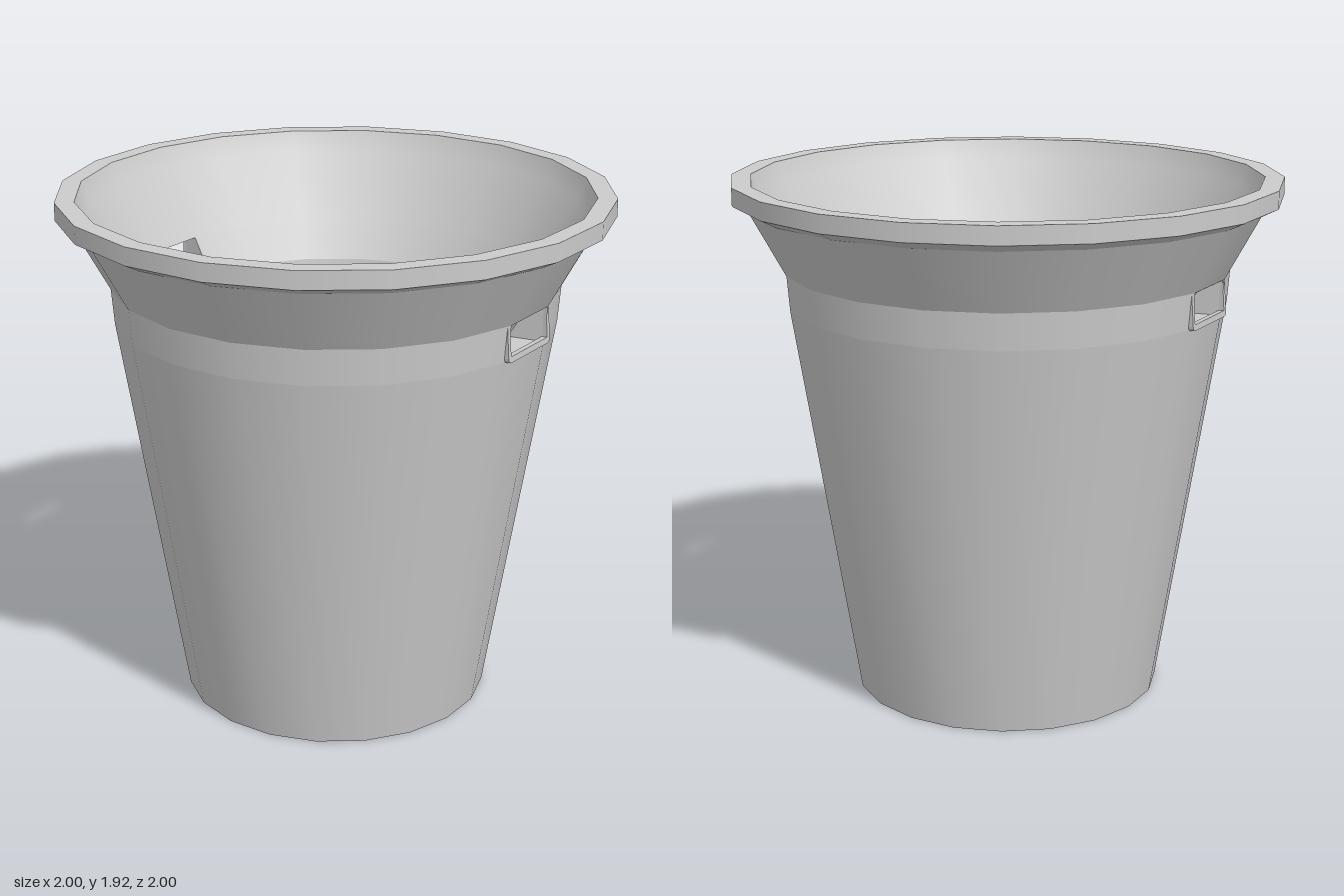
import * as THREE from 'three';

const SIDES = 20;
const STEP = (Math.PI * 2) / SIDES;
const SLOT_LOW = 1.47, SLOT_HIGH = 1.6;
const OUTER = [[0.805, SLOT_LOW], [0.815, SLOT_HIGH]]; // wall radius at slot bottom and top
const INNER = [[0.67, SLOT_LOW], [0.747, SLOT_HIGH]];

export function createModel() {
  const group = new THREE.Group();
  const material = new THREE.MeshStandardMaterial({ color: 0xcccccc });

  const add = (name, geometry, parent = group) => {
    const mesh = new THREE.Mesh(geometry, material);
    mesh.name = name;
    parent.add(mesh);
    return mesh;
  };
  const turn = (name, profile, sides = SIDES, start = 0) =>
    add(name, new THREE.LatheGeometry(
      profile.map(([r, y]) => new THREE.Vector2(r, y)), sides, start, sides * STEP));

  // Closed rings of the cup, split where the edges are sharp
  turn('base', [[0, 0], [0.57, 0]]);
  turn('outerWall', [[0.57, 0], OUTER[0]]);
  turn('outerFlare', [OUTER[1], [0.94, 1.83]]);
  turn('rimUnderside', [[0.94, 1.83], [1, 1.86]]);
  turn('rimEdge', [[1, 1.86], [1, 1.925]]);
  turn('rimTop', [[1, 1.925], [0.93, 1.925]]);
  turn('innerFlare', [[0.93, 1.925], [0.9, 1.85], INNER[1]]);
  turn('innerWall', [INNER[0], [0.43, 0.06]]);
  turn('floor', [[0.43, 0.06], [0, 0.06]]);

  // Slot tunnel through one facet of the wall
  const loop = ([[r0, y0], [r1, y1]]) => [[r0, y0, 0], [r0, y0, STEP], [r1, y1, STEP], [r1, y1, 0]]
    .map(([r, y, a]) => [r * Math.sin(a), y, r * Math.cos(a)]);
  const out = loop(OUTER), inn = loop(INNER);
  const points = [];
  for (let i = 0; i < 4; i++) {
    const j = (i + 1) % 4;
    points.push(...out[i], ...out[j], ...inn[j], ...out[i], ...inn[j], ...inn[i]);
  }
  const tunnel = new THREE.BufferGeometry();
  tunnel.setAttribute('position', new THREE.Float32BufferAttribute(points, 3));
  tunnel.computeVertexNormals();

  // Thin rounded frame around the slot
  const w = 0.143, h = 0.07, c = 0.018;
  const shape = new THREE.Shape();
  shape.moveTo(-w + c, -h);
  shape.lineTo(w - c, -h).quadraticCurveTo(w, -h, w, -h + c);
  shape.lineTo(w, h - c).quadraticCurveTo(w, h, w - c, h);
  shape.lineTo(-w + c, h).quadraticCurveTo(-w, h, -w, h - c);
  shape.lineTo(-w, -h + c).quadraticCurveTo(-w, -h, -w + c, -h);
  const hole = new THREE.Path();
  hole.moveTo(-0.125, -0.048).lineTo(-0.125, 0.06).lineTo(0.125, 0.06).lineTo(0.125, -0.048).closePath();
  shape.holes.push(hole);
  const frame = new THREE.ExtrudeGeometry(shape, { depth: 0.022, bevelEnabled: false, curveSegments: 4 });
  frame.rotateX(-0.076);
  frame.translate(0, 1.535, 0.782);
  frame.rotateY(STEP / 2);

  // Wall band in two halves, each leaving one facet open for its slot
  for (const [side, angle] of [['front', 0], ['back', Math.PI]]) {
    turn(side + 'OuterBand', OUTER, SIDES / 2 - 1, angle + STEP);
    turn(side + 'InnerBand', [INNER[1], INNER[0]], SIDES / 2 - 1, angle + STEP);
    const slot = new THREE.Group();
    slot.name = side + 'Slot';
    slot.rotation.y = angle;
    add(side + 'SlotTunnel', tunnel, slot);
    add(side + 'SlotFrame', frame, slot);
    group.add(slot);
  }
  return group;
}
